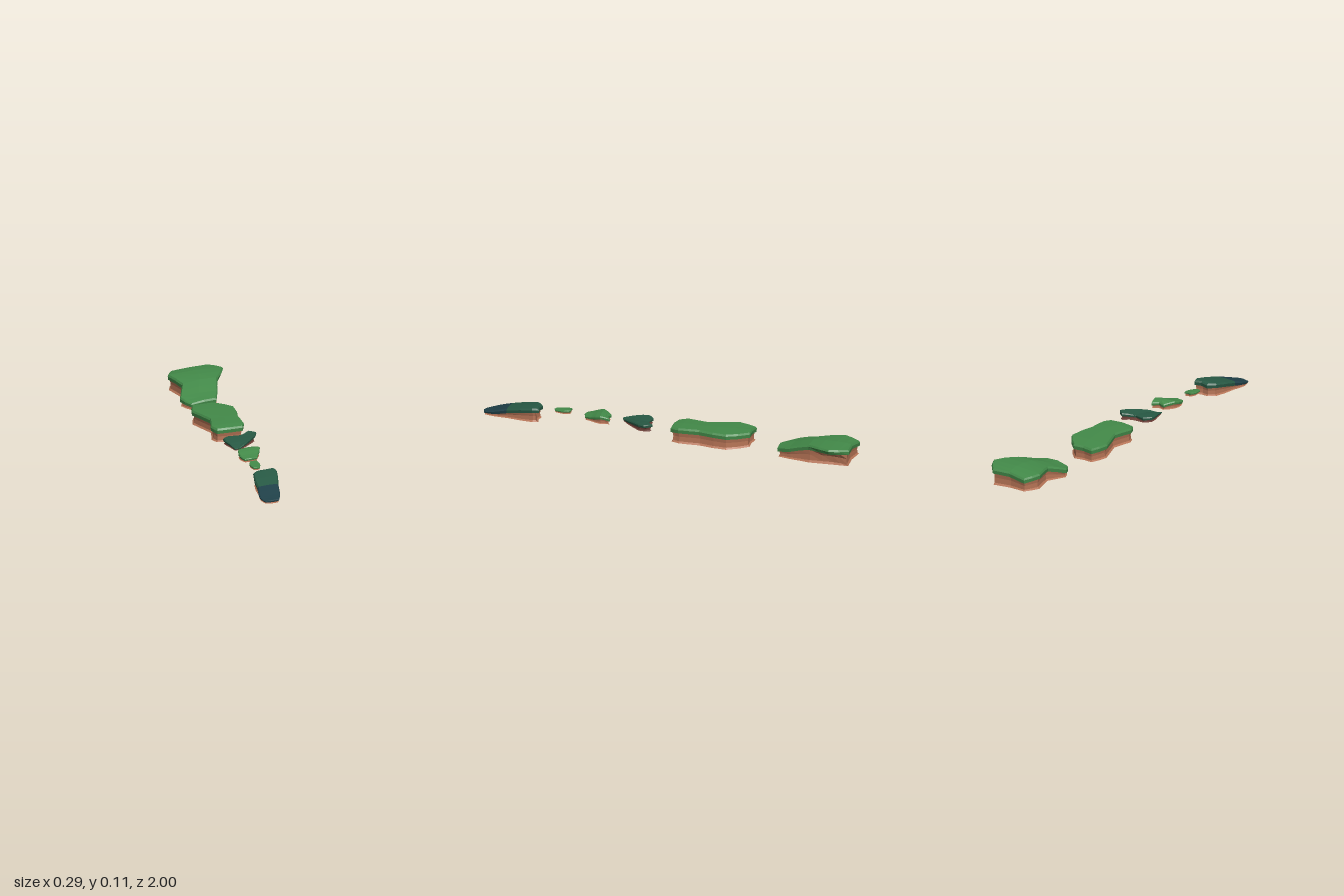
import * as THREE from 'three';

const material = (name, color) => {
  const m = new THREE.MeshStandardMaterial({ color });
  m.name = name;
  return m;
};

const grass = material('grass', 0x438a49);
const darkGrass = material('darkGrass', 0x285a45);
const deepTeal = material('deepTeal', 0x1f4048);
const soil = material('soil', 0xb57355);
const darkSoil = material('darkSoil', 0x6e4038);

const { lerp, clamp } = THREE.MathUtils;

// Walk round the island: left side, front middle, right side, rear middle.
// Rows are [z, left x, right x, height]; curves through them give the edges.
function edgeLoop({ rows, skew, tilt, crown }) {
  const count = rows.length * 2 - 1;
  const side = (column, dz, dy) => new THREE.CatmullRomCurve3(
    rows.map((r) => new THREE.Vector3(r[column], r[3] + dy, r[0] + dz)),
  ).getPoints(count - 1);
  const left = side(1, 0, -tilt / 2), right = side(2, -skew, tilt / 2);
  const centre = left.map((l, i) => l.clone().lerp(right[i], 0.5).setY((l.y + right[i].y) / 2 + crown));
  centre[0].z += skew;
  centre[count - 1].z += 0.007;
  return { edge: [...left, centre[count - 1], ...right.reverse(), centre[0]], centre };
}

// Pull the edge inward along its normals; wide right-hand ledges hang over the soil
function inset(loop, amount, heightOf, overhang = 0) {
  const n = loop.length;
  return loop.map((p, i) => {
    const a = loop[(i + n - 1) % n], b = loop[(i + 1) % n];
    const tx = b.x - a.x, tz = b.z - a.z, len = Math.hypot(tx, tz);
    const ledge = Math.max(0, p.x - 0.085) * overhang;
    return new THREE.Vector3(p.x + tz / len * amount - ledge, heightOf(p), p.z - tx / len * amount);
  });
}

// Band of triangles between two loops
function band(upper, lower) {
  return upper.flatMap((u, i) => {
    const j = (i + 1) % upper.length;
    return [[u, lower[i], lower[j]], [u, lower[j], upper[j]]];
  });
}

// Surface across a loop, with a centre line whose height comes from a rule
function cap(loop, centreHeight) {
  const count = (loop.length - 2) / 2;
  const row = (i) => {
    const l = loop[i], r = loop[2 * count - i];
    let m = l.clone().lerp(r, 0.5);
    if (i === 0) m = loop[2 * count + 1];
    else if (i === count - 1) m = loop[count];
    else m.y = centreHeight(m, i);
    return [l, m, r];
  };
  const tris = [];
  for (let i = 0; i < count - 1; i++) {
    const a = row(i), b = row(i + 1);
    for (let k = 0; k < 2; k++) tris.push([a[k], b[k], b[k + 1]], [a[k], b[k + 1], a[k + 1]]);
  }
  return tris;
}

// Unshared corners keep every facet flat
function facets(name, tris, mat) {
  const geo = new THREE.BufferGeometry().setFromPoints(tris.flat());
  geo.computeVertexNormals();
  const mesh = new THREE.Mesh(geo, mat);
  mesh.name = name;
  return mesh;
}

function island(spec) {
  const { rows, thick, top, wall: wallMaterial, split = 2 } = spec;
  const group = new THREE.Group();
  group.name = spec.name;
  const { edge, centre } = edgeLoop(spec);
  const z0 = rows[0][0], z1 = rows.at(-1)[0];
  const base = (p) => lerp(spec.base[0], spec.base[1], clamp((p.z - z0) / (z1 - z0), 0, 1));
  const under = (p) => p.y - Math.min(thick, (p.y - base(p)) * 0.55);
  const between = (t) => (p) => lerp(base(p), under(p), t);
  const s = Math.min(1, thick / 0.024);

  // Turf: bevelled top slab, its low front end in a second colour where split
  const rim = inset(edge, 0.006 * s, (p) => p.y);
  const lip = inset(edge, 0, (p) => lerp(p.y, under(p), 0.35));
  const hem = inset(edge, 0.002 * s, under, 0.15);
  const turf = [...cap(rim, (m, i) => centre[i].y), ...band(rim, lip), ...band(lip, hem)];
  const isLow = (t) => (t[0].z + t[1].z + t[2].z) / 3 > split;
  group.add(facets('turf', turf.filter((t) => !isLow(t)), top));
  if (turf.some(isLow)) group.add(facets('lowTurf', turf.filter(isLow), deepTeal));

  // Soil: undercut neck, straight wall and flared foot
  const neck = inset(edge, 0.011 * s, under, 0.5);
  const wall = inset(edge, 0.015 * s, between(0.6), 0.9);
  const ankle = inset(edge, 0.014 * s, between(0.15), 1);
  const foot = inset(edge, 0.006 * s, base, 1);
  const bottom = cap(foot, base).map(([a, b, c]) => [a, c, b]);
  const sides = [hem, neck, wall, ankle].flatMap((loop, i) => band(loop, [neck, wall, ankle, foot][i]));
  group.add(facets('soil', [...sides, ...bottom], wallMaterial));
  return group;
}

export function createModel() {
  const model = new THREE.Group();
  model.name = 'islandChain';

  // Islands from rear to front
  model.add(island({
    name: 'rearIsland', top: grass, wall: soil, thick: 0.027, base: [0.014, 0],
    skew: 0.01, tilt: 0.018, crown: 0.006,
    rows: [[-0.99, -0.11, 0.08, 0.093], [-0.9, -0.146, 0.143, 0.102], [-0.77, -0.1, 0.085, 0.094],
      [-0.66, -0.135, 0.062, 0.06], [-0.588, -0.09, 0.04, 0.046]],
  }));
  model.add(island({
    name: 'longIsland', top: grass, wall: soil, thick: 0.027, base: [0.013, 0.013],
    skew: 0.005, tilt: 0.006, crown: 0.002,
    rows: [[-0.43, -0.12, -0.01, 0.087], [-0.33, -0.146, 0.075, 0.092], [-0.18, -0.085, 0.063, 0.094],
      [-0.07, -0.104, 0.07, 0.092], [-0.022, -0.08, 0.053, 0.088]],
  }));
  model.add(island({
    name: 'darkIsland', top: darkGrass, wall: darkSoil, thick: 0.016, base: [0.06, 0.06],
    skew: 0.033, tilt: 0.01, crown: -0.006,
    rows: [[0.1, -0.05, 0.058, 0.092], [0.135, -0.084, 0.096, 0.093], [0.205, -0.068, 0.055, 0.088],
      [0.264, -0.05, 0.005, 0.076]],
  }));
  model.add(island({
    name: 'smallIsland', top: grass, wall: soil, thick: 0.016, base: [0.06, 0.06],
    skew: 0.015, tilt: 0.002, crown: 0.003,
    rows: [[0.315, -0.02, 0.045, 0.09], [0.365, -0.057, 0.06, 0.101], [0.42, -0.057, 0.04, 0.086],
      [0.457, -0.04, 0.027, 0.079]],
  }));
  model.add(island({
    name: 'tinyIsland', top: grass, wall: soil, thick: 0.01, base: [0.071, 0.071],
    skew: 0.003, tilt: 0, crown: 0.001,
    rows: [[0.53, -0.03, 0.005, 0.092], [0.565, -0.041, 0.015, 0.088], [0.615, -0.03, 0.004, 0.084]],
  }));
  model.add(island({
    name: 'frontRampIsland', top: darkGrass, wall: soil, thick: 0.024, base: [0.026, 0.016], split: 0.865,
    skew: 0.007, tilt: 0.006, crown: 0.002,
    rows: [[0.685, -0.02, 0.055, 0.096], [0.72, -0.055, 0.069, 0.096], [0.865, -0.064, 0.046, 0.069],
      [0.95, -0.07, 0.037, 0.043], [0.9965, -0.05, 0.02, 0.032]],
  }));
  return model;
}
